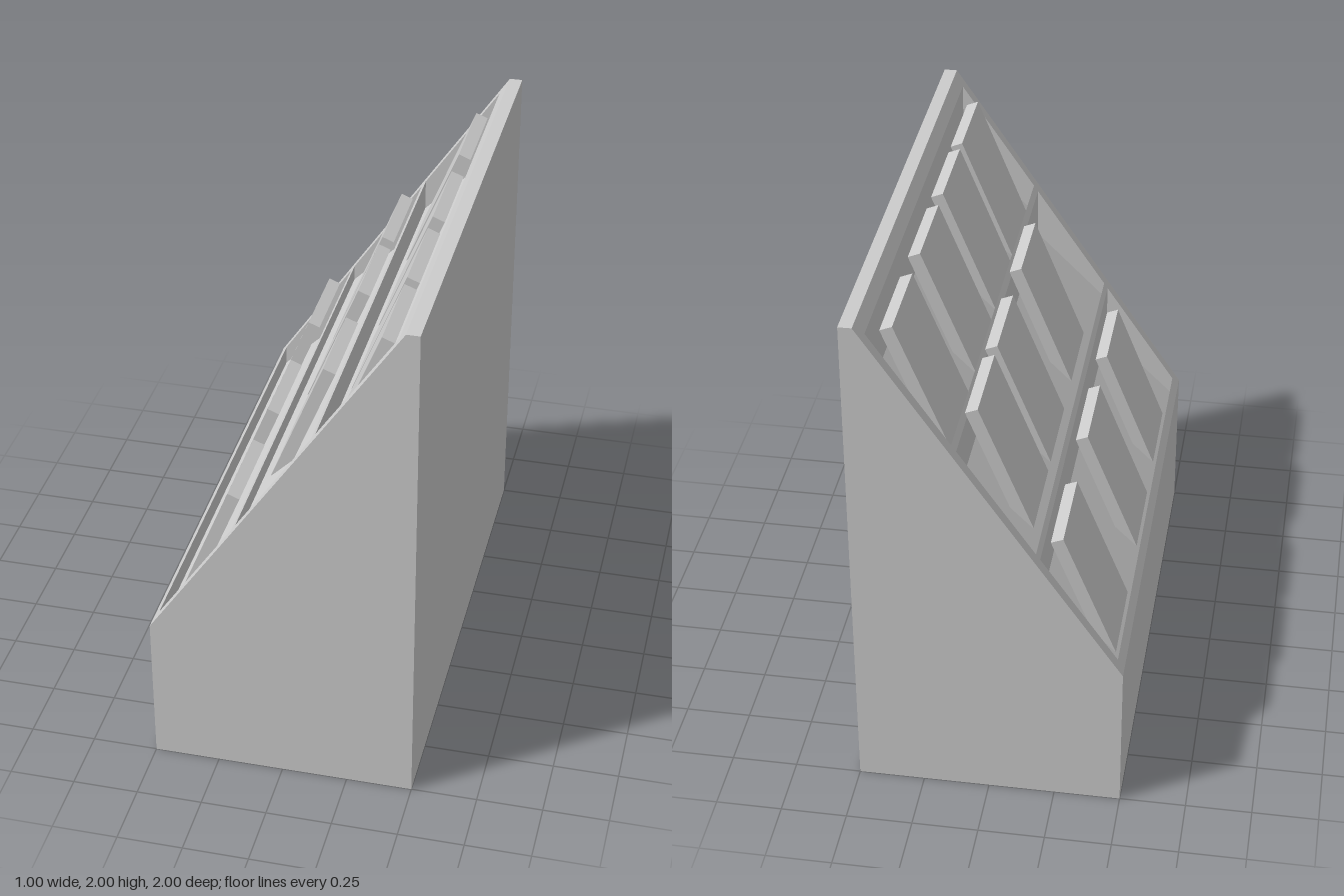
import * as THREE from 'three';

const material = new THREE.MeshStandardMaterial({ color: 0xcccccc });

// Height of the sloping face at a given x
const slopeY = (x) => 0.6 + (x + 0.5) * (1.4 / 0.95);

// Each tier: trough limits in x, floor heights at lip and back, foot of the cards, card centres in z
const tiers = [
  { name: 'lower', x0: -0.475, x1: -0.187, floor0: 0.56, floor1: 0.84, foot: [-0.455, 0.58], cards: [-0.66, 0, 0.58] },
  { name: 'middle', x0: -0.172, x1: 0.11, floor0: 1.02, floor1: 1.3, foot: [-0.135, 1.06], cards: [-0.585, -0.16, 0.405] },
  { name: 'upper', x0: 0.127, x1: 0.418, floor0: 1.4, floor1: 1.69, foot: [0.147, 1.42], cards: [-0.655, -0.148, 0.305, 0.718] },
];

const END = 0.047; // thickness of the end panels
const CARD = { length: 0.535, thickness: 0.049, width: 0.365, lean: 0.384 };

// Side profile of the stand, with or without the stepped troughs
function profile(withTroughs) {
  const points = [[0.5, 0], [0.5, 2], [0.45, 2]];
  if (withTroughs) {
    for (const t of [...tiers].reverse()) {
      points.push([t.x1, slopeY(t.x1)], [t.x1, t.floor1], [t.x0, t.floor0], [t.x0, slopeY(t.x0)]);
    }
  }
  points.push([-0.5, 0.6], [-0.5, 0]);
  return new THREE.Shape(points.map(([x, y]) => new THREE.Vector2(x, y)));
}

function slab(name, shape, z, depth) {
  const geometry = new THREE.ExtrudeGeometry(shape, { depth, bevelEnabled: false });
  const mesh = new THREE.Mesh(geometry, material);
  mesh.position.z = z;
  mesh.name = name;
  return mesh;
}

export function createModel() {
  const group = new THREE.Group();
  group.name = 'displayStand';

  // Stand body and its two closed ends
  group.add(
    slab('body', profile(true), -1 + END, 2 - 2 * END),
    slab('rightEndPanel', profile(false), -1, END),
    slab('leftEndPanel', profile(false), 1 - END, END),
  );

  // Leaning cards, standing on the trough floors
  const cardGeometry = new THREE.BoxGeometry(CARD.thickness, CARD.length, CARD.width);
  cardGeometry.translate(CARD.thickness / 2, CARD.length / 2, 0);
  for (const tier of tiers) {
    const row = new THREE.Group();
    row.name = `${tier.name}CardRow`;
    tier.cards.forEach((z, i) => {
      const card = new THREE.Mesh(cardGeometry, material);
      card.name = `${tier.name}Card${i + 1}`;
      card.position.set(tier.foot[0], tier.foot[1], z);
      card.rotation.z = -CARD.lean;
      row.add(card);
    });
    group.add(row);
  }
  return group;
}
